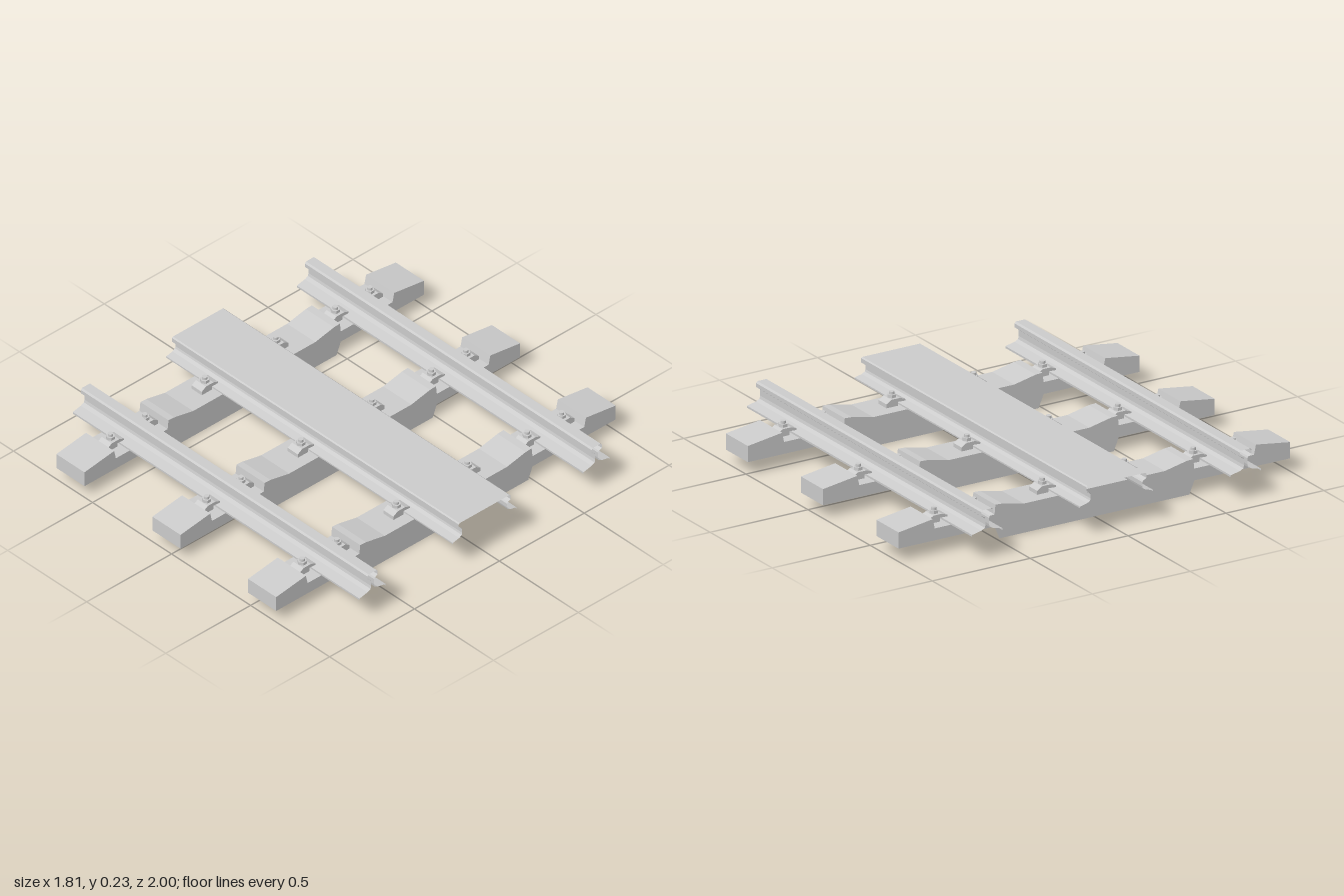
import * as THREE from 'three';

const material = new THREE.MeshStandardMaterial({ color: 0xcccccc, side: THREE.DoubleSide });

function addMesh(parent, name, geometry, x = 0, y = 0, z = 0) {
  const mesh = new THREE.Mesh(geometry, material);
  mesh.name = name;
  mesh.position.set(x, y, z);
  parent.add(mesh);
  return mesh;
}

// Completes a half profile of [z, y] points (from +z edge to middle) on the -z side
function mirrored(half) {
  return [...half, ...half.map(([z, y]) => [-z, y]).reverse()];
}

// Open sheet: a [z, y] profile swept straight along x
function ribbon(profile, x0, x1) {
  const pos = [];
  for (let i = 0; i < profile.length - 1; i++) {
    const [za, ya] = profile[i];
    const [zb, yb] = profile[i + 1];
    pos.push(x0, ya, za, x1, ya, za, x1, yb, zb);
    pos.push(x0, ya, za, x1, yb, zb, x0, yb, zb);
  }
  const g = new THREE.BufferGeometry();
  g.setAttribute('position', new THREE.Float32BufferAttribute(pos, 3));
  g.computeVertexNormals();
  return g;
}

function polygon(points) {
  return new THREE.Shape(points.map(([a, b]) => new THREE.Vector2(a, b)));
}

// Hollow sleeper, open underneath, with recessed rail seats
function createSleeper() {
  const sleeper = new THREE.Group();
  sleeper.name = 'sleeper';
  const half = 0.089;
  const top = mirrored([
    [1, 0.06], [1, 0.135], [0.825, 0.16], [0.815, 0.115], [0.51, 0.115],
    [0.505, 0.16], [0.47, 0.158], [0.36, 0.135],
  ]);
  const bottom = [[-0.51, 0.06], [-0.485, 0], [0.485, 0], [0.51, 0.06]];
  addMesh(sleeper, 'sleeperTop', ribbon(top, -half, half));
  for (const s of [-1, 1]) {
    const side = new THREE.ShapeGeometry(polygon([...top, ...bottom]));
    side.rotateY(s * Math.PI / 2);
    addMesh(sleeper, 'sleeperSide', side, s * half);
  }
  return sleeper;
}

// Clamp with its foot on the sleeper and its lip over the rail flange (towards +z)
function createClip() {
  const clip = new THREE.Group();
  clip.name = 'railClip';
  const width = 0.064;
  const clamp = new THREE.ExtrudeGeometry(polygon([
    [-0.047, 0], [0.012, 0], [0.012, 0.018], [0.049, 0.016], [0.049, 0.024],
    [0.022, 0.034], [-0.022, 0.034], [-0.047, 0.018],
  ]), { depth: width, bevelEnabled: false });
  clamp.translate(0, 0, -width / 2);
  clamp.rotateY(-Math.PI / 2);
  addMesh(clip, 'clamp', clamp);
  const hex = new THREE.CylinderGeometry(0.021, 0.021, 0.014, 6).toNonIndexed();
  hex.computeVertexNormals();
  addMesh(clip, 'nut', hex, 0, 0.041, 0);
  addMesh(clip, 'boltEnd', new THREE.CylinderGeometry(0.012, 0.012, 0.013, 12), 0, 0.054, 0);
  return clip;
}

export function createModel() {
  const model = new THREE.Group();
  model.name = 'rackRailwayTrack';
  const sleeperX = [-0.64, -0.032, 0.573];
  const x0 = -0.907, x1 = 0.907;

  // Running rails: flange, web and rounded head, open at the ends
  const railProfile = mirrored([
    [0.077, 0.118], [0.077, 0.127], [0.03, 0.137], [0.012, 0.146], [0.009, 0.16],
    [0.009, 0.188], [0.013, 0.196], [0.03, 0.204], [0.03, 0.222], [0.023, 0.23],
  ]);
  for (const s of [-1, 1]) {
    addMesh(model, 'runningRail', ribbon(railProfile, x0, x1), 0, 0, s * 0.66);
  }

  // Wide centre beam: flat plate on two webs with outward flanges
  const beamProfile = mirrored([
    [0.187, 0.136], [0.187, 0.143], [0.15, 0.151], [0.135, 0.16], [0.132, 0.17],
    [0.132, 0.19], [0.137, 0.197], [0.153, 0.205], [0.153, 0.225], [0.147, 0.23],
  ]);
  addMesh(model, 'centreBeam', ribbon(beamProfile, x0, x1));

  // Each clip: bolt distance from the middle, seat height, lip direction
  const clips = [[0.764, 0.115, -1], [0.561, 0.115, 1], [0.209, 0.135, -1]];
  for (const x of sleeperX) {
    const sleeper = createSleeper();
    sleeper.position.x = x;
    model.add(sleeper);
    for (const s of [-1, 1]) {
      for (const [z, y, lip] of clips) {
        const clip = createClip();
        clip.position.set(x, y, s * z);
        if (s * lip < 0) clip.rotation.y = Math.PI;
        model.add(clip);
      }
    }
  }
  return model;
}
